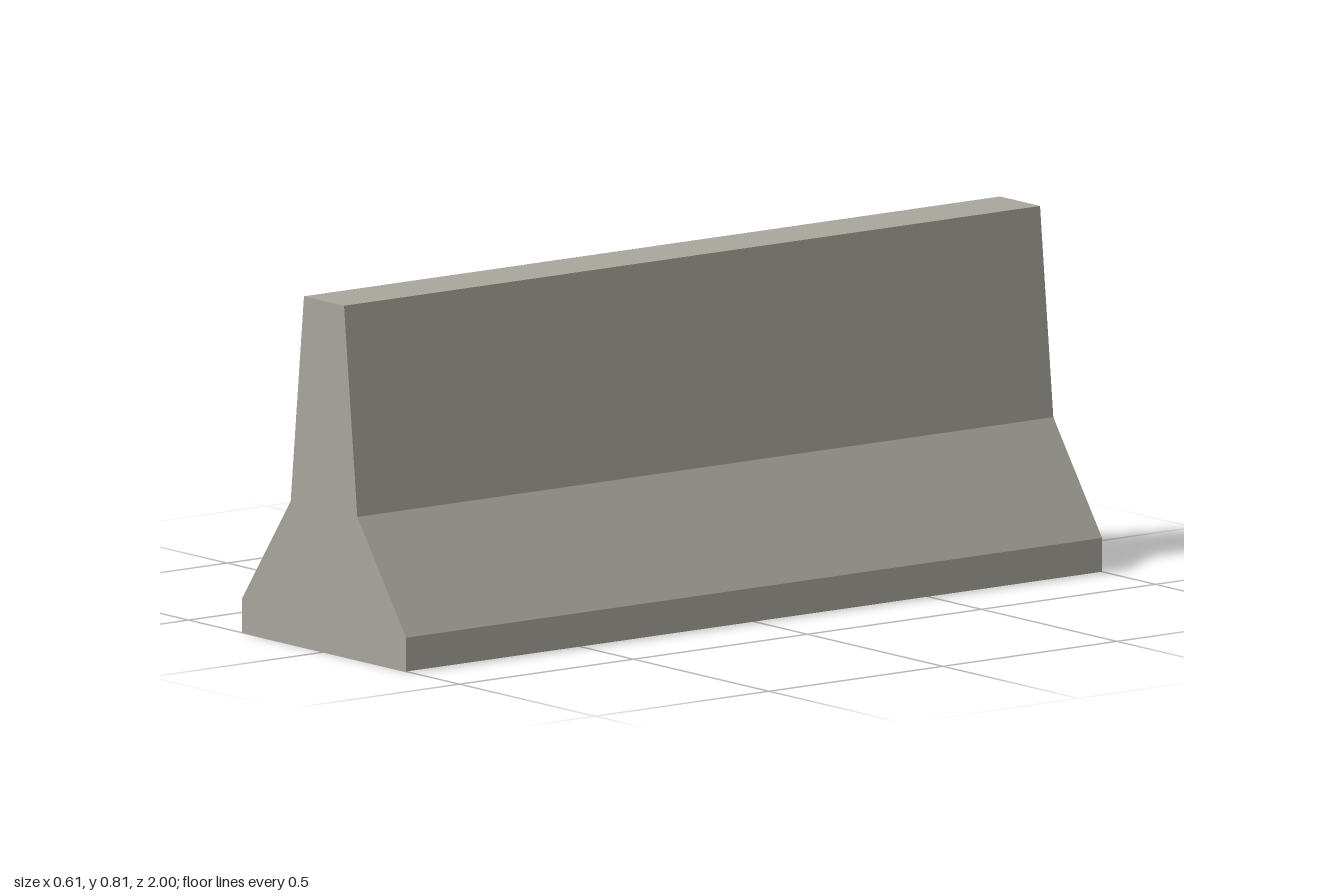
import * as THREE from 'three';

const concrete = new THREE.MeshStandardMaterial({ color: 0xa8a69c, side: THREE.DoubleSide });
concrete.name = 'concrete grey';

const HALF_LENGTH = 1;

// Right half of the cross-section, from the foot up to the crown
const half = [[0.303, 0], [0.303, 0.078], [0.123, 0.33], [0.074, 0.81]];
const mirrored = half.map(([x, y]) => [-x, y]).reverse();
const profile = [...half, ...mirrored];

function addMesh(group, name, geometry) {
  const mesh = new THREE.Mesh(geometry, concrete);
  mesh.name = name;
  group.add(mesh);
  return mesh;
}

// Flat faces swept along z between neighbouring profile points; the underside stays open
function shellGeometry() {
  const positions = [];
  for (let i = 0; i < profile.length - 1; i++) {
    const [ax, ay] = profile[i];
    const [bx, by] = profile[i + 1];
    const a = [ax, ay, HALF_LENGTH], b = [ax, ay, -HALF_LENGTH];
    const c = [bx, by, -HALF_LENGTH], d = [bx, by, HALF_LENGTH];
    positions.push(...a, ...b, ...c, ...a, ...c, ...d);
  }
  const geometry = new THREE.BufferGeometry();
  geometry.setAttribute('position', new THREE.Float32BufferAttribute(positions, 3));
  geometry.computeVertexNormals();
  return geometry;
}

export function createModel() {
  const barrier = new THREE.Group();
  barrier.name = 'roadBarrier';

  // Foot, slopes, walls and crown
  addMesh(barrier, 'barrierShell', shellGeometry());

  // Closed ends
  const outline = new THREE.Shape(profile.map(([x, y]) => new THREE.Vector2(x, y)));
  addMesh(barrier, 'frontEnd', new THREE.ShapeGeometry(outline)).position.z = HALF_LENGTH;
  const backEnd = addMesh(barrier, 'backEnd', new THREE.ShapeGeometry(outline));
  backEnd.position.z = -HALF_LENGTH;
  backEnd.rotation.y = Math.PI;

  return barrier;
}
